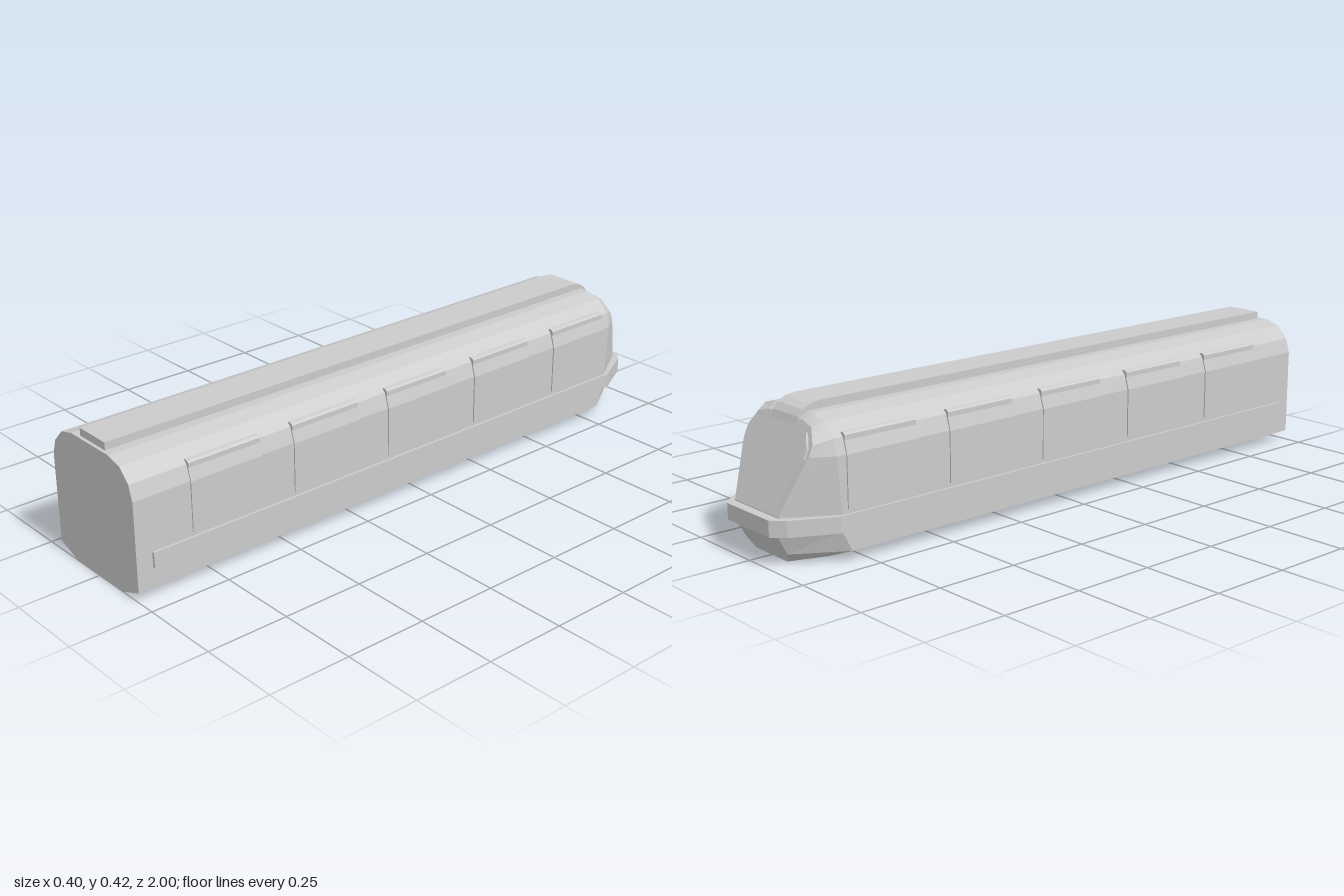
import * as THREE from 'three';

const mat = new THREE.MeshStandardMaterial({ color: 0xcccccc, flatShading: true });

function addMesh(parent, name, geometry) {
  const mesh = new THREE.Mesh(geometry, mat);
  mesh.name = name;
  parent.add(mesh);
  return mesh;
}

function extrude(points, depth) {
  const shape = new THREE.Shape(points.map(([x, y]) => new THREE.Vector2(x, y)));
  return new THREE.ExtrudeGeometry(shape, { depth, bevelEnabled: false });
}

// Half section, bottom to top: [x, y, z where the nose starts, nose x, nose y, nose z]
const HALF = [
  [0.115, 0.0, -0.82, 0.075, 0.0, -0.93],
  [0.192, 0.03, -0.80, 0.10, 0.03, -0.945],
  [0.192, 0.09, -0.83, 0.105, 0.09, -0.978],
  [0.192, 0.14, -0.83, 0.105, 0.14, -0.972],
  [0.192, 0.30, -0.84, 0.152, 0.30, -0.902],
  [0.178, 0.345, -0.84, 0.152, 0.33, -0.889],
  [0.14, 0.384, -0.84, 0.125, 0.37, -0.872],
  [0.09, 0.397, -0.84, 0.08, 0.381, -0.867],
];

// Hull: flat end, start of the nose and nose face joined in loops
function hullGeometry() {
  const n = HALF.length;
  const ring = (pick) => {
    const right = HALF.map(pick);
    return [...right, ...right.map(([x, y, z]) => [-x, y, z]).reverse()];
  };
  const rings = [
    ring((p) => [p[0], p[1], 1]),
    ring((p) => [p[0], p[1], p[2]]),
    ring((p) => [p[3], p[4], p[5]]),
  ];
  const pos = [];
  const quad = (a, b, c, d) => [a, b, c, a, c, d].forEach((v) => pos.push(...v));
  for (let s = 0; s < 2; s++) {
    for (let j = 0; j < 2 * n; j++) {
      const k = (j + 1) % (2 * n);
      quad(rings[s][j], rings[s + 1][j], rings[s + 1][k], rings[s][k]);
    }
  }
  // End caps in horizontal strips
  for (let i = 0; i < n - 1; i++) {
    const l = 2 * n - 1 - i;
    const [flat, , nose] = rings;
    quad(flat[i], flat[i + 1], flat[l - 1], flat[l]);
    quad(nose[i], nose[l], nose[l - 1], nose[i + 1]);
  }
  const g = new THREE.BufferGeometry();
  g.setAttribute('position', new THREE.Float32BufferAttribute(pos, 3));
  g.computeVertexNormals();
  return g;
}

export function createModel() {
  const model = new THREE.Group();
  model.name = 'railCar';
  addMesh(model, 'hull', hullGeometry());

  // Roof duct, rounded down over the nose (profile drawn as -z, y)
  const duct = extrude([
    [-0.99, 0.385], [-0.99, 0.42], [0.80, 0.42], [0.83, 0.415],
    [0.853, 0.403], [0.868, 0.385], [0.875, 0.365], [0.84, 0.365],
  ], 0.12);
  duct.translate(0, 0, -0.06).rotateY(Math.PI / 2);
  addMesh(model, 'roofDuct', duct);

  // Bumper rail wrapping both sides and the nose (plan drawn as x, -z)
  const plan = [[0.2, -0.95], [0.2, 0.84], [0.135, 0.967], [0.1, 1]];
  const rail = extrude([...plan, ...plan.map(([x, y]) => [-x, y]).reverse()], 0.047);
  rail.rotateX(-Math.PI / 2).translate(0, 0.09, 0);
  addMesh(model, 'bumperRail', rail);

  // Side windows with small hoods
  const pane = [[0.18, 0.15], [0.196, 0.15], [0.196, 0.3], [0.182, 0.347], [0.165, 0.347], [0.18, 0.3]];
  const hood = [[0.165, 0.337], [0.187, 0.337], [0.187, 0.351], [0.182, 0.356], [0.172, 0.358], [0.162, 0.353]];
  for (const side of [1, -1]) {
    const mirror = (pts) => pts.map(([x, y]) => [x * side, y]);
    for (let i = 0; i < 5; i++) {
      const group = new THREE.Group();
      group.name = `${side > 0 ? 'left' : 'right'}Window${i + 1}`;
      group.position.z = 0.583 - i * 0.3485;
      addMesh(group, 'pane', extrude(mirror(pane), 0.236));
      addMesh(group, 'hood', extrude(mirror(hood), 0.236));
      model.add(group);
    }
  }

  // Windshield plate lying on the sloped nose
  const half = [[0.097, 0.012], [0.142, 0.165], [0.142, 0.195], [0.118, 0.235]];
  const shield = extrude([...half, ...half.map(([x, y]) => [-x, y]).reverse()], 0.014);
  shield.translate(0, 0, -0.006).rotateY(Math.PI);
  const windshield = addMesh(model, 'windshield', shield);
  windshield.position.set(0, 0.14, -0.972);
  windshield.rotation.x = Math.atan2(0.07, 0.16);

  return model;
}
